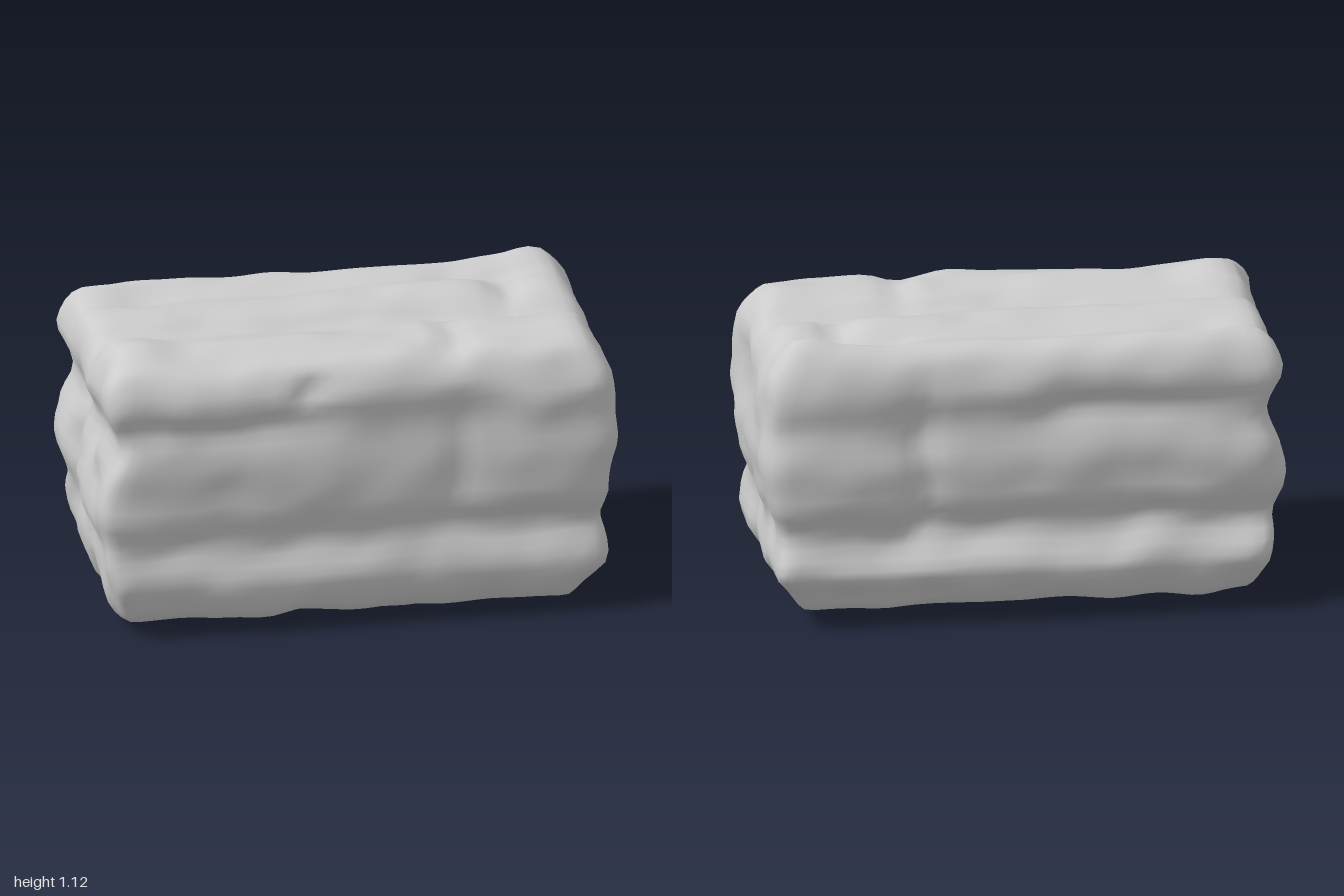
import * as THREE from 'three';
import { mergeVertices } from 'three/addons/utils/BufferGeometryUtils.js';

const { lerp, smoothstep } = THREE.MathUtils;

// Outlines of the ends and sides, at even heights
const Y_START = 0.05, Y_STEP = 0.15;
const LEFT_END = [0.86, 0.94, 0.92, 0.96, 0.98, 0.965, 0.96, 0.91];
const RIGHT_END = [-0.9, -0.94, -0.955, -0.99, -0.965, -0.92, -0.97, -0.94];
const FRONT = [0.47, 0.51, 0.475, 0.515, 0.52, 0.51, 0.525, 0.49];
const BACK = [-0.46, -0.52, -0.45, -0.5, -0.51, -0.485, -0.505, -0.48];

// Long ridges and grooves of the top and underside, at even depths
const Z_START = -0.54, Z_STEP = 0.12;
const TOP = [1.06, 1.09, 1.055, 1.08, 1.08, 1.035, 1.08, 1.095, 1.07, 1.06];
const BOTTOM = [0.08, 0.05, 0.09, 0.04, 0.03, 0.1, 0.05, 0.02, 0.04, 0.08];

// Bulges and dents on each face: centre u, v, radii u, v, outward push
const FACES = [
  { axis: 'z', u: 'x', v: 'y', side: 1, bumps: [
    [-0.6, 0.84, 0.4, 0.05, -0.03], // groove under the upper ledge
    [0.72, 0.68, 0.24, 0.4, 0.025], // swollen end
    [0.38, 0.65, 0.05, 0.22, -0.02],
    [-0.2, 0.97, 0.06, 0.05, -0.04], // chip
    [0.65, 0.36, 0.22, 0.04, -0.02],
  ] },
  { axis: 'z', u: 'x', v: 'y', side: -1, bumps: [
    [0.75, 0.65, 0.28, 0.42, 0.035], // swollen end
    [0.38, 0.65, 0.06, 0.32, -0.035],
    [-0.35, 0.84, 0.5, 0.05, -0.03], // groove under the rim
  ] },
  { axis: 'x', u: 'z', v: 'y', side: 1, bumps: [
    [0.2, 0.68, 0.04, 0.24, -0.03], // upright crease
    [-0.2, 0.7, 0.2, 0.3, 0.015],
    [0.02, 0.48, 0.1, 0.1, -0.02],
  ] },
  { axis: 'x', u: 'z', v: 'y', side: -1, bumps: [
    [-0.12, 0.6, 0.05, 0.3, -0.035], // upright crease
    [0, 0.33, 0.3, 0.05, -0.025],
  ] },
  { axis: 'y', u: 'x', v: 'z', side: 1, bumps: [
    [0.3, -0.16, 0.27, 0.13, 0.02], // raised slab
    [0.66, -0.15, 0.05, 0.16, -0.035],
    [0.38, 0.28, 0.05, 0.2, -0.03],
    [-0.78, 0.3, 0.13, 0.15, 0.025], // high corners
    [0.82, -0.38, 0.1, 0.1, 0.03],
  ] },
  { axis: 'y', u: 'x', v: 'z', side: -1, bumps: [
    [0.35, 0.28, 0.25, 0.1, 0.015],
    [0.45, -0.15, 0.06, 0.16, -0.035],
    [-0.25, 0.3, 0.06, 0.14, -0.025],
  ] },
];

// Smooth reading between the even stations of an outline
function along(profile, station) {
  const s = THREE.MathUtils.clamp(station, 0, profile.length - 1);
  const i = Math.min(Math.floor(s), profile.length - 2);
  return lerp(profile[i], profile[i + 1], smoothstep(s - i, 0, 1));
}

// Seeded lattice noise in [-1, 1]
function lattice(i, j, k, seed) {
  const s = Math.sin(i * 127.1 + j * 311.7 + k * 74.7 + seed * 53.3) * 43758.5453;
  return 2 * (s - Math.floor(s)) - 1;
}

function noise(x, y, z, seed) {
  const cell = [x, y, z].map(Math.floor);
  const f = [x, y, z].map((c, n) => smoothstep(c - cell[n], 0, 1));
  let sum = 0;
  for (let corner = 0; corner < 8; corner++) {
    const d = [corner & 1, (corner >> 1) & 1, corner >> 2];
    const w = d.reduce((product, bit, n) => product * (bit ? f[n] : 1 - f[n]), 1);
    sum += w * lattice(cell[0] + d[0], cell[1] + d[1], cell[2] + d[2], seed);
  }
  return sum;
}

function stoneGeometry() {
  const half = new THREE.Vector3(0.97, 0.53, 0.51), radius = 0.075;
  const box = new THREE.BoxGeometry(half.x * 2, half.y * 2, half.z * 2, 40, 24, 24);
  box.deleteAttribute('normal');
  box.deleteAttribute('uv');
  const geo = mergeVertices(box);

  const inner = half.clone().subScalar(radius), outer = inner.clone().negate();
  const pos = geo.attributes.position;
  const p = new THREE.Vector3(), core = new THREE.Vector3();
  for (let n = 0; n < pos.count; n++) {
    // round the edges of the block
    p.fromBufferAttribute(pos, n);
    core.copy(p).clamp(outer, inner);
    p.sub(core).setLength(radius).add(core);

    // place each pair of opposite faces on its outlines
    const unit = p.clone().divide(half);
    const sy = (p.y + 0.57 - Y_START) / Y_STEP, sz = (p.z - Z_START) / Z_STEP;
    p.set(
      lerp(along(RIGHT_END, sy), along(LEFT_END, sy), (unit.x + 1) / 2),
      lerp(along(BOTTOM, sz), along(TOP, sz), (unit.y + 1) / 2),
      lerp(along(BACK, sy), along(FRONT, sy), (unit.z + 1) / 2));

    // bulges and dents, fading out away from their own face
    const base = p.clone();
    for (const { axis, u, v, side, bumps } of FACES) {
      const fade = Math.max(0, side * unit[axis]) ** 4;
      for (const [cu, cv, ru, rv, push] of bumps) {
        const d = ((base[u] - cu) / ru) ** 2 + ((base[v] - cv) / rv) ** 2;
        p[axis] += side * push * fade * Math.exp(-d);
      }
    }

    // fine roughness
    ['x', 'y', 'z'].forEach((axis, seed) => {
      p[axis] += 0.018 * noise(base.x * 6, base.y * 7, base.z * 7, seed + 1);
    });
    pos.setXYZ(n, p.x, p.y, p.z);
  }

  // centre it and stand it on the ground
  geo.center();
  geo.computeBoundingBox();
  geo.translate(0, -geo.boundingBox.min.y, 0);
  geo.computeVertexNormals();
  return geo;
}

export function createModel() {
  const group = new THREE.Group();
  group.name = 'stoneBlock';
  const stoneGrey = new THREE.MeshStandardMaterial({ color: 0xcccccc });
  stoneGrey.name = 'stoneGrey';
  const stone = new THREE.Mesh(stoneGeometry(), stoneGrey);
  stone.name = 'stone';
  group.add(stone);
  return group;
}
